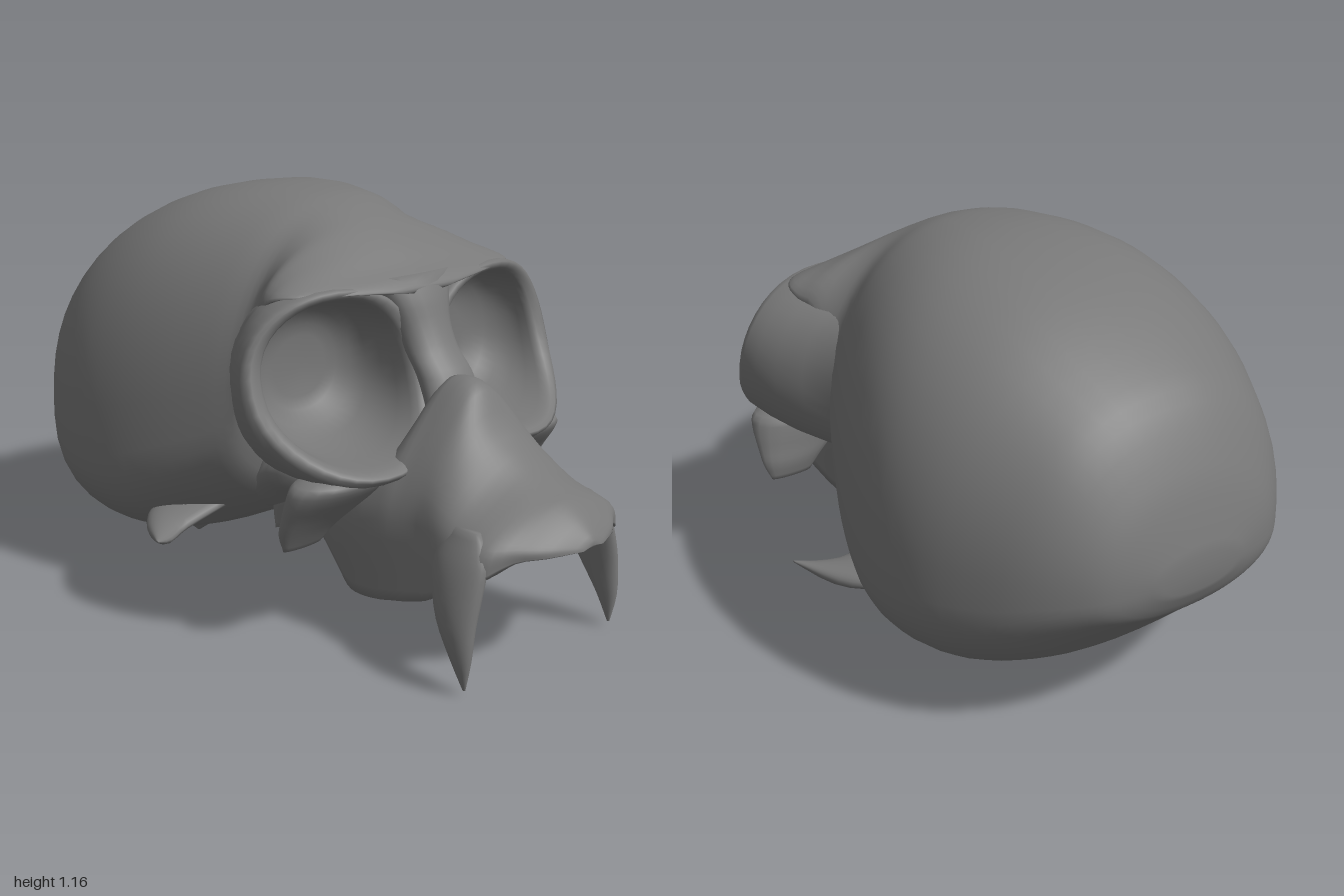
import * as THREE from 'three';

const bone = new THREE.MeshStandardMaterial({ color: 0x787878, side: THREE.DoubleSide });
bone.name = 'grey bone';

const V = (x, y, z) => new THREE.Vector3(x, y, z);
const P = (x, y) => new THREE.Vector2(x, y);

// Smoothly adds rows between the rows of a section table
function refine(rows, n = 3) {
  const out = [];
  for (let i = 0; i < rows.length - 1; i++) {
    const [a, b, c, d] = [-1, 0, 1, 2].map(k => rows[Math.min(rows.length - 1, Math.max(0, i + k))]);
    for (let s = 0; s < n; s++) {
      const t = s / n;
      out.push(b.map((p, k) => p + 0.5 * t * (c[k] - a[k] + t * (2 * a[k] - 5 * p + 4 * c[k] - d[k]
        + t * (3 * (p - c[k]) + d[k] - a[k])))));
    }
  }
  out.push(rows[rows.length - 1]);
  return out;
}

// Closed skin over rings of points, with both ends capped and faces turned outward
function loft(rings) {
  const n = rings[0].length, pts = rings.flat(), idx = [];
  for (let i = 0; i < rings.length - 1; i++) {
    for (let j = 0; j < n; j++) {
      const k = (j + 1) % n, a = i * n + j, b = i * n + k, c = a + n, d = b + n;
      idx.push(a, b, d, a, d, c);
    }
  }
  [0, rings.length - 1].forEach((r, end) => {
    const mid = V(0, 0, 0);
    rings[r].forEach(p => mid.addScaledVector(p, 1 / n));
    const m = pts.push(mid) - 1;
    for (let j = 0; j < n; j++) {
      const a = r * n + j, b = r * n + (j + 1) % n;
      if (end) idx.push(a, b, m); else idx.push(b, a, m);
    }
  });
  let volume = 0;
  for (let i = 0; i < idx.length; i += 3) {
    volume += pts[idx[i]].dot(pts[idx[i + 1]].clone().cross(pts[idx[i + 2]]));
  }
  if (volume < 0) idx.reverse();
  const g = new THREE.BufferGeometry().setFromPoints(pts);
  g.setIndex(idx);
  g.computeVertexNormals();
  return g;
}

// One ring of n points; f receives rounded-square cosine and sine, and the angle
function ring(n, power, f) {
  return Array.from({ length: n }, (_, j) => {
    const a = j / n * Math.PI * 2, e = 2 / power;
    const c = Math.cos(a), s = Math.sin(a);
    return f(Math.sign(c) * Math.abs(c) ** e, Math.sign(s) * Math.abs(s) ** e, a);
  });
}

// Rows: centre x, y, z, then two radii across the chosen axis
function limb(axis, rows, n = 20) {
  return loft(refine(rows).map(([x, y, z, r, q]) => ring(n, 2, (c, s) =>
    axis === 'x' ? V(x, y + r * c, z + q * s)
      : axis === 'y' ? V(x + r * c, y, z + q * s)
        : V(x + r * c, y + q * s, z))));
}

export function createModel() {
  const model = new THREE.Group();
  model.name = 'skull';
  const add = (name, geometry, parent = model) => {
    const m = new THREE.Mesh(geometry, bone);
    m.name = name;
    parent.add(m);
    return m;
  };

  // Braincase and forehead: z, half width, top, bottom, height of widest point, squareness
  const braincase = [
    [-0.998, 0.12, 0.55, 0.45, 0.50, 2.2], [-0.97, 0.24, 0.65, 0.39, 0.49, 2.2],
    [-0.93, 0.32, 0.755, 0.35, 0.48, 2.2], [-0.85, 0.41, 0.89, 0.27, 0.46, 2.25],
    [-0.75, 0.485, 0.97, 0.175, 0.43, 2.3], [-0.60, 0.565, 1.055, 0.09, 0.41, 2.35],
    [-0.45, 0.60, 1.115, 0.07, 0.40, 2.4], [-0.30, 0.585, 1.15, 0.09, 0.41, 2.5],
    [-0.15, 0.54, 1.162, 0.16, 0.46, 2.45], [0, 0.475, 1.15, 0.24, 0.52, 2.35],
    [0.08, 0.435, 1.13, 0.32, 0.58, 2.2], [0.13, 0.415, 1.11, 0.60, 0.76, 2.0],
    [0.18, 0.42, 1.085, 0.87, 0.89, 1.8], [0.23, 0.44, 1.055, 0.905, 0.915, 1.7],
    [0.28, 0.44, 1.02, 0.93, 0.935, 1.6], [0.33, 0.39, 0.98, 0.935, 0.94, 1.6],
    [0.37, 0.25, 0.955, 0.925, 0.935, 1.7], [0.395, 0.10, 0.932, 0.915, 0.925, 2],
  ];
  add('braincase', loft(refine(braincase).map(([z, w, top, bot, mid, power]) =>
    ring(48, power, (c, s) => V(w * c, mid + s * (s > 0 ? top - mid : mid - bot), z)))));

  // Underside between palate and braincase
  add('skullBase', limb('z', [
    [0, 0.37, 0.42, 0.20, 0.05], [0, 0.37, 0.36, 0.26, 0.11], [0, 0.40, 0.24, 0.32, 0.11],
    [0, 0.41, 0.12, 0.35, 0.13], [0, 0.34, 0, 0.32, 0.13], [0, 0.27, -0.2, 0.25, 0.12],
  ], 24));

  // Bridge between the eye sockets
  add('noseBridge', limb('y', [
    [0, 0.96, 0.32, 0.15, 0.06], [0, 0.90, 0.35, 0.115, 0.06], [0, 0.83, 0.375, 0.09, 0.06],
    [0, 0.76, 0.41, 0.085, 0.06], [0, 0.70, 0.46, 0.09, 0.06], [0, 0.62, 0.50, 0.10, 0.05],
  ]));

  // Snout: z, base half width, base y, shoulder half width, shoulder y, top, palate
  const snout = [
    [0, 0.19, 0.175, 0.19, 0.30, 0.42, 0.27], [0.15, 0.17, 0.21, 0.19, 0.32, 0.43, 0.27],
    [0.25, 0.18, 0.14, 0.20, 0.31, 0.43, 0.25], [0.33, 0.21, 0.105, 0.25, 0.35, 0.45, 0.24],
    [0.42, 0.25, 0.12, 0.27, 0.38, 0.53, 0.24], [0.50, 0.26, 0.135, 0.26, 0.41, 0.69, 0.24],
    [0.55, 0.265, 0.15, 0.25, 0.41, 0.715, 0.245],
    [0.60, 0.27, 0.165, 0.24, 0.42, 0.71, 0.25], [0.64, 0.275, 0.18, 0.24, 0.42, 0.685, 0.26],
    [0.70, 0.285, 0.205, 0.25, 0.41, 0.60, 0.28], [0.77, 0.295, 0.25, 0.255, 0.39, 0.52, 0.31],
    [0.86, 0.28, 0.30, 0.25, 0.38, 0.475, 0.345], [0.91, 0.20, 0.345, 0.19, 0.38, 0.455, 0.355],
    [0.96, 0.13, 0.355, 0.12, 0.375, 0.42, 0.358], [0.998, 0.04, 0.36, 0.03, 0.367, 0.38, 0.362],
  ];
  add('snout', loft(refine(snout).map(([z, w, bot, sw, sy, top, roof]) => {
    const nx = sw * 0.45, ny = sy + 0.72 * (top - sy), iw = w * 0.86, iy = bot + 0.6 * (roof - bot);
    const outer = new THREE.SplineCurve([P(w, bot), P(sw, sy), P(nx, ny), P(0, top),
      P(-nx, ny), P(-sw, sy), P(-w, bot)]).getPoints(36);
    const inner = new THREE.SplineCurve([P(-iw, bot), P(-iw * 0.9, iy), P(-iw * 0.6, roof),
      P(iw * 0.6, roof), P(iw * 0.9, iy), P(iw, bot)]).getPoints(24);
    // shallow hollow of the nose
    outer.forEach(p => {
      p.y -= 0.03 * Math.exp(-((p.x / 0.08) ** 2) - ((z - 0.68) / 0.05) ** 2);
    });
    return [...outer, ...inner].map(p => V(p.x, p.y, z));
  }))).position.x = -0.025;

  // Eye socket from outer wall over the rim into the bowl:
  // radius x, radius y, centre x, centre y, blend from rim to depth, depth z
  const socket = [
    [0.19, 0.22, 0.22, 0.66, 1, -0.06], [0.21, 0.25, 0.225, 0.67, 1, 0.08],
    [0.255, 0.26, 0.28, 0.69, 0.6, 0.12], [0.288, 0.25, 0.30, 0.705, 0.15, 0.15],
    [0.272, 0.233, 0.30, 0.715, 0, 0.18], [0.24, 0.215, 0.30, 0.715, 0.03, 0.18],
    [0.222, 0.205, 0.30, 0.715, 0.15, 0.18], [0.21, 0.195, 0.295, 0.715, 0.5, 0.18],
    [0.165, 0.155, 0.285, 0.715, 0.85, 0.18], [0.09, 0.085, 0.28, 0.715, 0.98, 0.18],
  ];
  const rimZ = a => 0.4175 - 0.04 * Math.cos(a) - 0.095 * Math.sin(a) - 0.0375 * Math.cos(2 * a);
  const socketGeo = loft(refine(socket, 2).map(([rx, ry, cx, cy, t, z]) =>
    ring(40, 2.2, (c, s, a) => V(cx + rx * c, cy + ry * s, rimZ(a) * (1 - t) + z * t))));

  // Cheek plate hanging below the socket
  const cheekGeo = limb('y', [
    [0.33, 0.505, 0.44, 0.08, 0.04], [0.35, 0.48, 0.43, 0.15, 0.085], [0.36, 0.44, 0.415, 0.16, 0.08],
    [0.385, 0.385, 0.39, 0.135, 0.055], [0.415, 0.335, 0.37, 0.10, 0.035], [0.43, 0.285, 0.36, 0.065, 0.012],
  ]);

  // Broken cheek arch pointing forward from the braincase
  const archGeo = limb('x', [
    [0.34, 0.27, -0.18, 0.03, 0.12], [0.48, 0.23, -0.16, 0.03, 0.09],
    [0.56, 0.22, -0.10, 0.025, 0.06], [0.625, 0.237, -0.02, 0.003, 0.006],
  ]);

  // Long canine tooth
  const fangGeo = limb('y', [
    [0.225, 0.41, 0.79, 0.015, 0.04], [0.245, 0.35, 0.79, 0.035, 0.08], [0.268, 0.28, 0.797, 0.04, 0.08],
    [0.29, 0.19, 0.815, 0.036, 0.06], [0.298, 0.10, 0.84, 0.022, 0.032], [0.296, 0.02, 0.853, 0.003, 0.004],
  ]);

  // Pointed knobs under the braincase
  const knobGeo = limb('y', [
    [0.15, 0.17, -0.48, 0.18, 0.18], [0.15, 0.085, -0.48, 0.10, 0.10], [0.155, 0.005, -0.49, 0.006, 0.006],
  ]);

  for (const side of [1, -1]) {
    const half = new THREE.Group();
    half.name = side > 0 ? 'leftSide' : 'rightSide';
    half.scale.x = side;
    add('eyeSocket', socketGeo, half);
    add('cheekbone', cheekGeo, half);
    add('cheekArch', archGeo, half);
    // teeth and knobs sit slightly off centre
    add('canineTooth', fangGeo, half).position.x = -0.035 * side;
    add('baseKnob', knobGeo, half).position.x = 0.03 * side;
    model.add(half);
  }
  return model;
}
